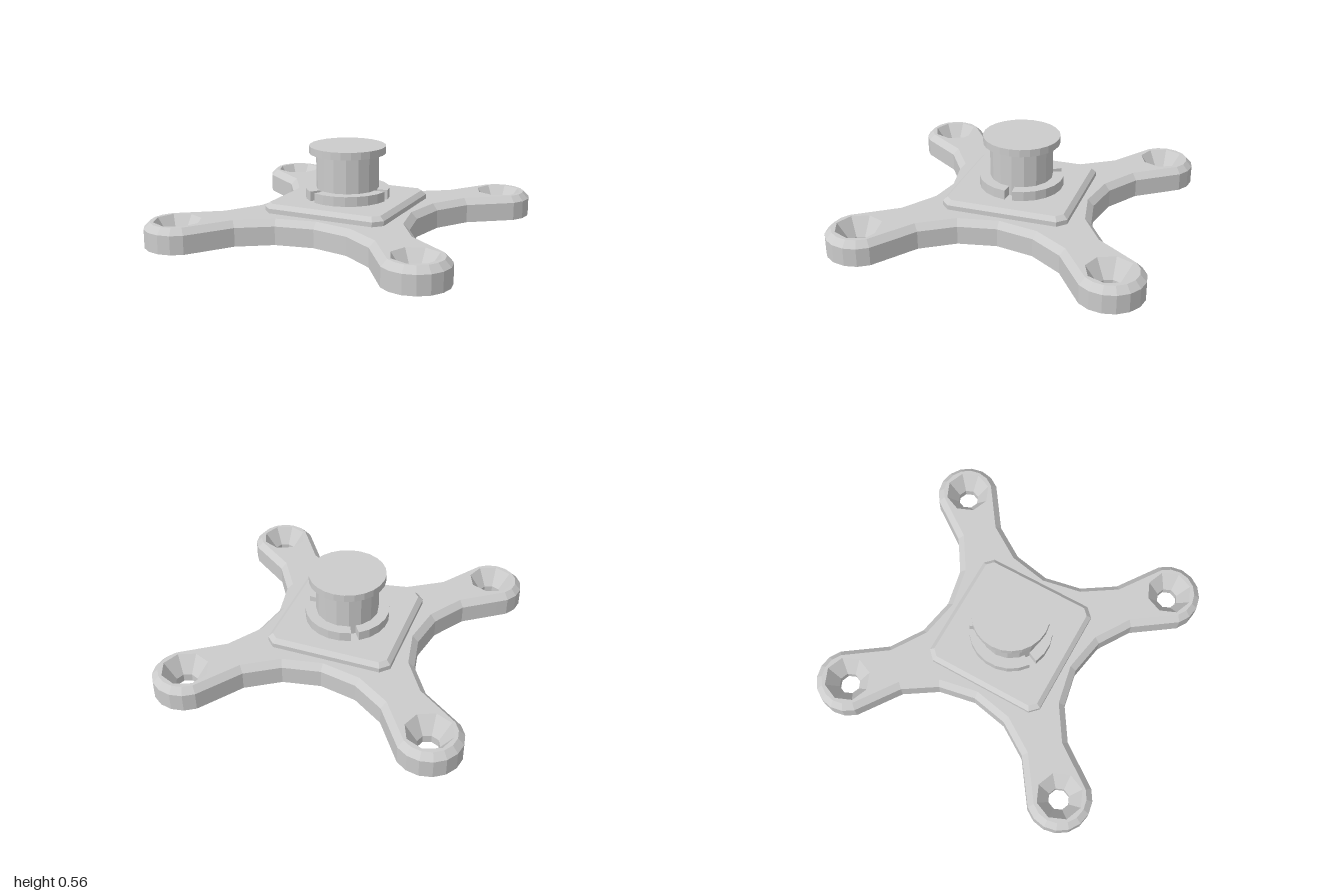
import * as THREE from 'three';
import { mergeGeometries } from 'three/addons/utils/BufferGeometryUtils.js';

const BOSS = 0.79, BOSS_R = 0.21;      // screw boss centre and radius
const WAIST_C = 1.147, WAIST_R = 0.657; // concave side arc, tangent to the bosses

const material = new THREE.MeshStandardMaterial({ color: 0xcccccc, flatShading: true });

function arc(cx, cy, r, from, to, n) {
  return Array.from({ length: n + 1 }, (_, i) => {
    const a = from + (to - from) * i / n;
    return new THREE.Vector2(cx + r * Math.cos(a), cy + r * Math.sin(a));
  });
}

// Counter-clockwise four-armed outline, drawn in by inset
function crossLoop(inset) {
  const t = Math.atan2(WAIST_C - BOSS, -BOSS); // tangent point on the boss
  const s = Math.atan2(BOSS - WAIST_C, BOSS);  // same point seen from the side arc
  const quarter = [
    ...arc(BOSS, BOSS, BOSS_R - inset, Math.PI / 2 - t, t, 10),
    ...arc(0, WAIST_C, WAIST_R + inset, s, -Math.PI - s, 6).slice(1, -1),
  ];
  const loop = [];
  for (let q = 0; q < 4; q++) {
    for (const p of quarter) loop.push(p.clone().rotateAround(new THREE.Vector2(), q * Math.PI / 2));
  }
  return loop;
}

// Square with cut corners
function squareLoop(h, cut) {
  const k = h - cut;
  return [[h, -k], [h, k], [k, h], [-k, h], [-h, k], [-h, -k], [-k, -h], [k, -h]]
    .map(([x, y]) => new THREE.Vector2(x, y));
}

// Octagonal hole loop
const holeLoop = (x, y, r) => arc(x, y, r, 0, Math.PI * 2, 8).slice(0, -1);

// Wall between two matching loops; inward walls face the loop's centre
function wall(a, ya, b, yb, inward = false) {
  const v = [];
  const put = (p, y) => v.push(p.x, y, -p.y);
  for (let i = 0; i < a.length; i++) {
    const j = (i + 1) % a.length;
    const [m, n] = inward ? [j, i] : [i, j];
    put(a[m], ya); put(a[n], ya); put(b[n], yb);
    put(a[m], ya); put(b[n], yb); put(b[m], yb);
  }
  const g = new THREE.BufferGeometry();
  g.setAttribute('position', new THREE.Float32BufferAttribute(v, 3));
  g.computeVertexNormals();
  return g;
}

// Flat face, optionally pierced
function face(loop, y, holes, up) {
  const shape = new THREE.Shape(loop);
  shape.holes = holes.map((h) => new THREE.Path(h));
  const g = new THREE.ShapeGeometry(shape).toNonIndexed();
  g.deleteAttribute('uv');
  return g.rotateX(up ? -Math.PI / 2 : Math.PI / 2).translate(0, y, 0);
}

// Chamfered slab with optional countersunk holes
function slab(outer, inner, y0, y1, y2, centres = []) {
  const bores = centres.map(([x, y]) => holeLoop(x, y, 0.07));
  const sinks = centres.map(([x, y]) => holeLoop(x, y, 0.15));
  const parts = [
    face(outer, y0, bores, false),
    wall(outer, y0, outer, y1),
    wall(outer, y1, inner, y2),
    face(inner, y2, sinks, true),
  ];
  bores.forEach((bore, i) => {
    parts.push(wall(bore, y0, bore, 0.05, true), wall(bore, 0.05, sinks[i], y2, true));
  });
  return mergeGeometries(parts);
}

export function createModel() {
  const model = new THREE.Group();
  const add = (name, geometry, y = 0) => {
    const mesh = new THREE.Mesh(geometry, material);
    mesh.name = name;
    mesh.position.y = y;
    model.add(mesh);
    return mesh;
  };

  // Four-armed base with a countersunk hole in each boss
  const centres = [[BOSS, BOSS], [-BOSS, BOSS], [-BOSS, -BOSS], [BOSS, -BOSS]];
  add('base', slab(crossLoop(0), crossLoop(0.04), 0, 0.12, 0.16, centres));

  // Square pad
  add('pad', slab(squareLoop(0.413, 0.055), squareLoop(0.385, 0.04), 0.16, 0.19, 0.217));

  // Post and its flat head
  add('post', new THREE.CylinderGeometry(0.205, 0.205, 0.3, 16), 0.365);
  add('head', new THREE.CylinderGeometry(0.25, 0.25, 0.048, 24), 0.534);

  // Collar around the post, split by three slots
  const collar = new THREE.Group();
  collar.name = 'collar';
  model.add(collar);
  const gap = 0.09;
  for (let i = 0; i < 3; i++) {
    const a = i * Math.PI * 2 / 3 + gap, b = (i + 1) * Math.PI * 2 / 3 - gap;
    const shape = new THREE.Shape([...arc(0, 0, 0.275, a, b, 7), ...arc(0, 0, 0.2, b, a, 7)]);
    const g = new THREE.ExtrudeGeometry(shape, { depth: 0.066, bevelEnabled: false });
    const segment = new THREE.Mesh(g.rotateX(-Math.PI / 2).translate(0, 0.214, 0), material);
    segment.name = 'collarSegment' + (i + 1);
    collar.add(segment);
  }
  return model;
}
